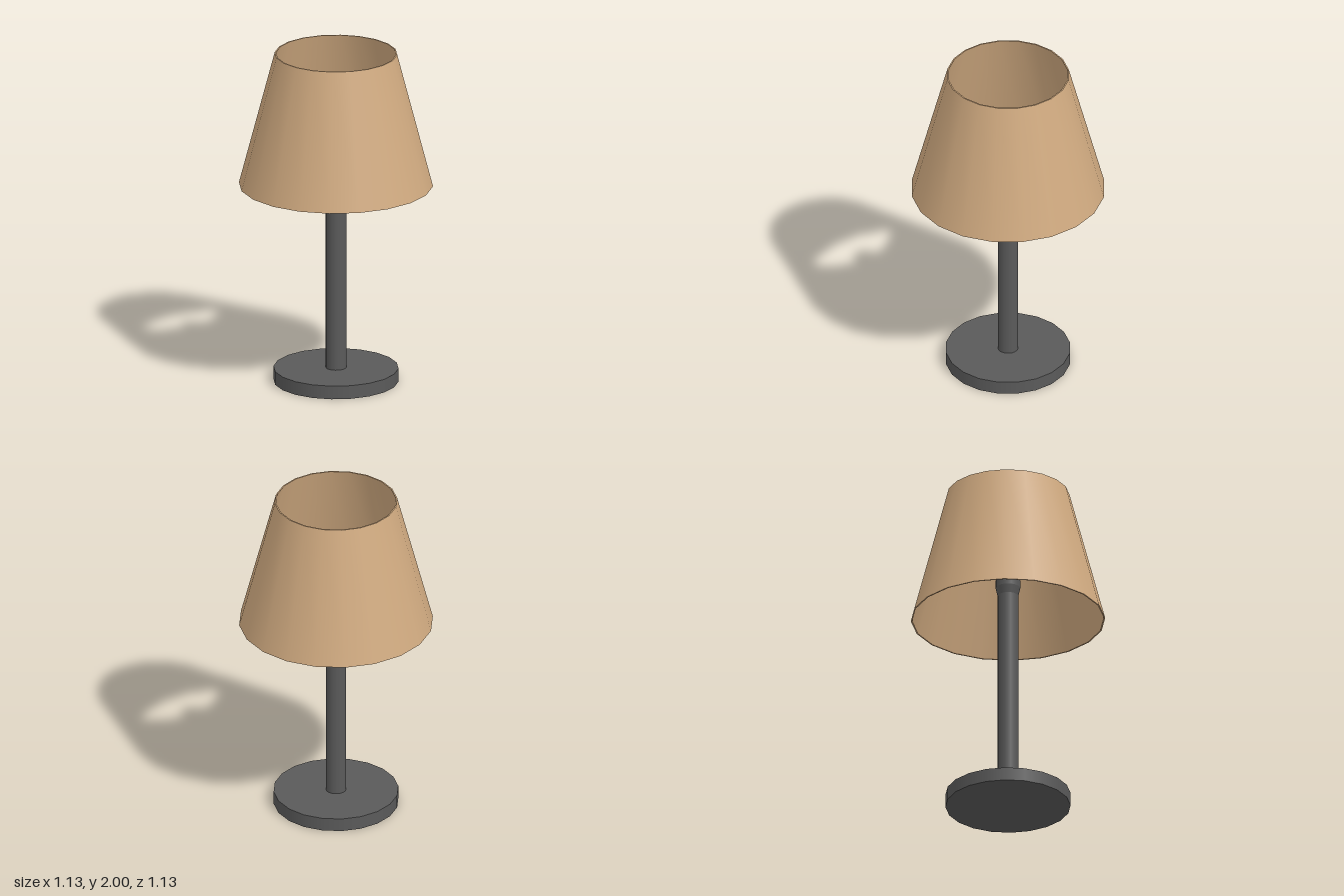
import * as THREE from 'three';

const SIDES = 20;
const metal = new THREE.MeshStandardMaterial({ color: 0x5a5a5a });
const brass = new THREE.MeshStandardMaterial({ color: 0xe0b21c });
const fabric = new THREE.MeshStandardMaterial({ color: 0xd0aa80 });
const glass = new THREE.MeshStandardMaterial({ color: 0xcccccc });

export function createModel() {
  const lamp = new THREE.Group();
  lamp.name = 'tableLamp';

  const add = (name, geometry, material, parent = lamp) => {
    const mesh = new THREE.Mesh(geometry, material);
    mesh.name = name;
    parent.add(mesh);
    return mesh;
  };

  // Upright cylinder between two heights
  const post = (name, rBottom, rTop, y0, y1, material) => {
    const mesh = add(name, new THREE.CylinderGeometry(rTop, rBottom, y1 - y0, SIDES), material);
    mesh.position.y = (y0 + y1) / 2;
  };

  // Foot and stem
  post('base', 0.365, 0.365, 0, 0.08, metal);
  post('stem', 0.06, 0.06, 0.08, 1.37, metal);

  // Bulb holder: flared cup, collar and brass cap
  post('socketCup', 0.06, 0.072, 1.35, 1.4, metal);
  post('socketCollar', 0.072, 0.072, 1.4, 1.45, metal);
  post('bulbCap', 0.06, 0.06, 1.45, 1.5, brass);

  // Bulb
  const bulb = add('bulb', new THREE.SphereGeometry(0.085, 24, 16), glass);
  bulb.position.y = 1.555;

  // Shade: thin conical wall, each surface separate so the rims stay crisp
  const shade = new THREE.Group();
  shade.name = 'shade';
  lamp.add(shade);
  const wall = [[0.567, 1.2], [0.358, 2], [0.35, 2], [0.559, 1.2]];
  ['shadeOutside', 'shadeTopRim', 'shadeInside', 'shadeBottomRim'].forEach((name, i) => {
    const edge = [wall[i], wall[(i + 1) % 4]].map(([r, y]) => new THREE.Vector2(r, y));
    add(name, new THREE.LatheGeometry(edge, SIDES), fabric, shade);
  });

  return lamp;
}
